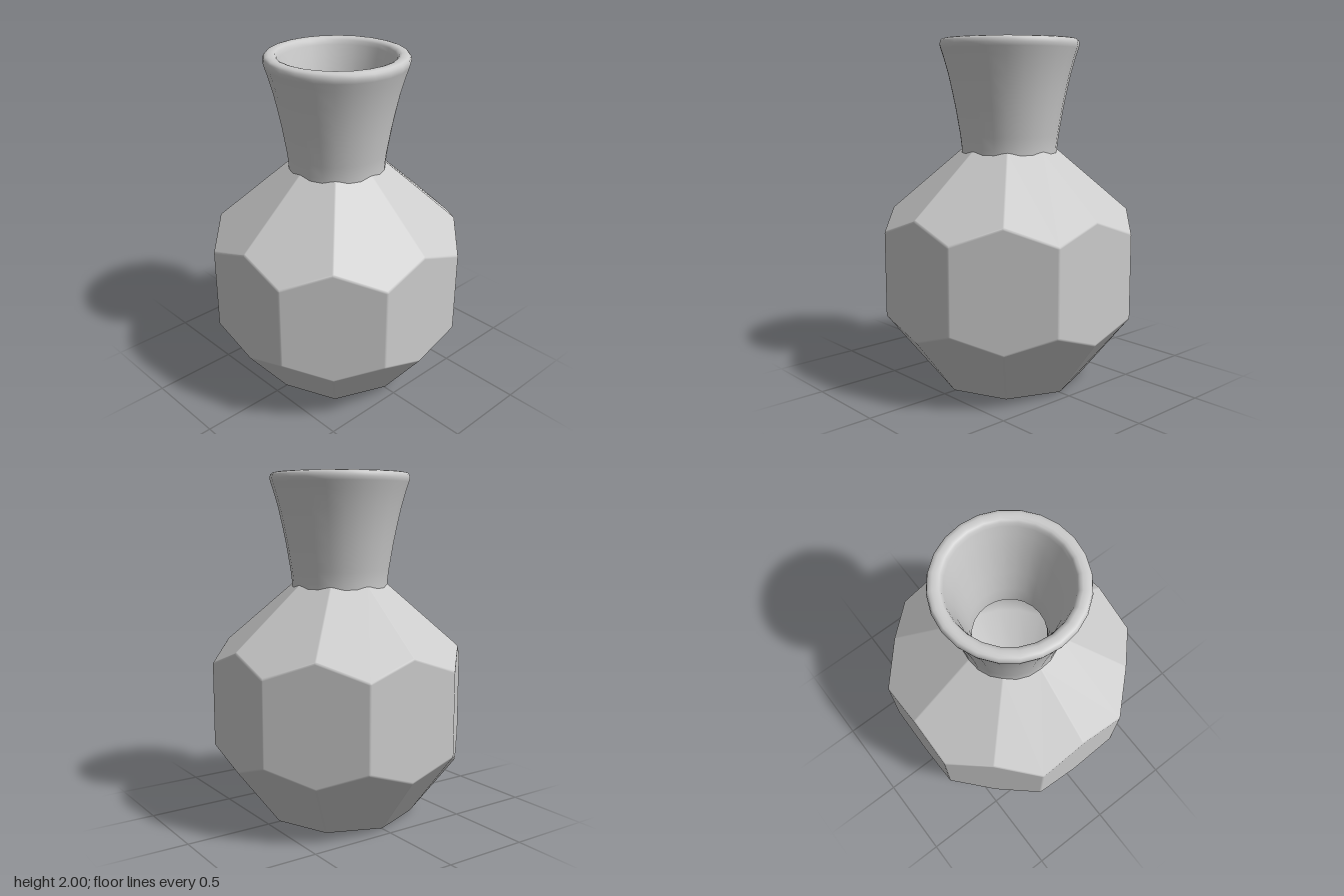
import * as THREE from 'three';
import { ConvexGeometry } from 'three/addons/geometries/ConvexGeometry.js';

const SIDES = 8, STEP = Math.PI / 4, HALF = STEP / 2;
const BEVEL = 0.02;
const FOOT = 0.415;      // radius of the base octagon
const RECESS = 0.275;    // radius of the hollow under the base
const polar = (r, y, a) => new THREE.Vector3(r * Math.cos(a), y, r * Math.sin(a));

// Faceted body: each corner is spread along its face normals, so the hull
// gets bevelled edges and every point carries an exact smooth normal.
function bodyGeometry() {
  const points = [], normals = [];
  const addCorner = (v, faces) => {
    const blends = [...faces];
    faces.forEach((a, i) => faces.slice(i + 1).forEach(b => blends.push(a.clone().add(b))));
    if (faces.length > 2) blends.push(faces.reduce((s, f) => s.add(f), new THREE.Vector3()));
    for (const b of blends) {
      const n = b.clone().normalize();
      points.push(v.clone().addScaledVector(n, BEVEL));
      normals.push(n);
    }
  };
  const side = a => polar(1, 0, a);
  const upper = a => polar(0.677, 0.736, a);
  const lower = a => polar(0.787, -0.617, a);
  const up = new THREE.Vector3(0, 1, 0), down = new THREE.Vector3(0, -1, 0);

  for (let k = 0; k < SIDES; k++) {
    const a = k * STEP, c = a + HALF;
    addCorner(polar(0.27, 1.35, a), [upper(a - HALF), upper(c), up]);
    addCorner(polar(0.67, 1.01, a), [side(a), upper(a - HALF), upper(c)]);
    addCorner(polar(0.67, 0.35, a), [side(a), lower(a - HALF), lower(c)]);
    addCorner(polar(FOOT, BEVEL, a), [lower(a - HALF), lower(c), down]);
    const r = 0.67 / Math.cos(HALF);
    addCorner(polar(r, 0.915, c), [side(a), side(a + STEP), upper(c)]);
    addCorner(polar(r, 0.445, c), [side(a), side(a + STEP), lower(c)]);
  }

  // Keep the hull without its flat caps, which are open or replaced
  const hull = new ConvexGeometry(points).getAttribute('position');
  const pos = [], nor = [], p = new THREE.Vector3();
  for (let i = 0; i < hull.count; i += 3) {
    const ids = [0, 1, 2].map(j => {
      p.fromBufferAttribute(hull, i + j);
      let best = 0;
      points.forEach((q, n) => {
        if (q.distanceToSquared(p) < points[best].distanceToSquared(p)) best = n;
      });
      return best;
    });
    if (ids.every(n => Math.abs(normals[n].y) > 0.999)) continue;
    for (const n of ids) {
      pos.push(...points[n].toArray());
      nor.push(...normals[n].toArray());
    }
  }
  const geo = new THREE.BufferGeometry();
  geo.setAttribute('position', new THREE.Float32BufferAttribute(pos, 3));
  geo.setAttribute('normal', new THREE.Float32BufferAttribute(nor, 3));
  return geo;
}

// Flat octagonal foot with a round opening
function footGeometry() {
  const shape = new THREE.Shape();
  for (let k = 0; k < SIDES; k++) {
    const a = k * STEP;
    shape[k ? 'lineTo' : 'moveTo'](FOOT * Math.cos(a), FOOT * Math.sin(a));
  }
  shape.closePath();
  const hole = new THREE.Path();
  hole.absarc(0, 0, RECESS, 0, Math.PI * 2, true);
  shape.holes.push(hole);
  return new THREE.ShapeGeometry(shape, 16).rotateX(Math.PI / 2);
}

const lathe = (profile, segments = 24) =>
  new THREE.LatheGeometry(profile.map(([r, y]) => new THREE.Vector2(r, y)), segments);

export function createModel() {
  const group = new THREE.Group();
  const material = new THREE.MeshStandardMaterial({ color: 0xcccccc, side: THREE.DoubleSide });
  const add = (name, geometry) => {
    const mesh = new THREE.Mesh(geometry, material);
    mesh.name = name;
    group.add(mesh);
    return mesh;
  };

  add('facetedBody', bodyGeometry());
  add('foot', footGeometry());
  add('footRecess', lathe([[0, 0.03], [0.225, 0.03], [0.245, 0.025], [0.26, 0.012], [RECESS, 0]], 32));

  // Flared neck, rounded rim and throat
  add('neck', lathe([
    [0.279, 1.33], [0.279, 1.38], [0.287, 1.45], [0.312, 1.6], [0.332, 1.7], [0.354, 1.8],
    [0.382, 1.9], [0.397, 1.945], [0.402, 1.965], [0.398, 1.985], [0.388, 1.996], [0.372, 2],
    [0.352, 2], [0.337, 1.995], [0.327, 1.983], [0.32, 1.96], [0.305, 1.9], [0.28, 1.8],
    [0.242, 1.6], [0.217, 1.45], [0.21, 1.36], [0.21, 1.32],
  ]));

  // Hollow inside with a flat floor
  add('innerWall', lathe([
    [0.21, 1.32], [0.4, 1.14], [0.56, 0.98], [0.61, 0.88], [0.61, 0.45], [0.56, 0.35], [0.36, 0.08],
  ]));
  add('innerFloor', new THREE.CircleGeometry(0.36, 24).rotateX(-Math.PI / 2)).position.y = 0.08;
  return group;
}
